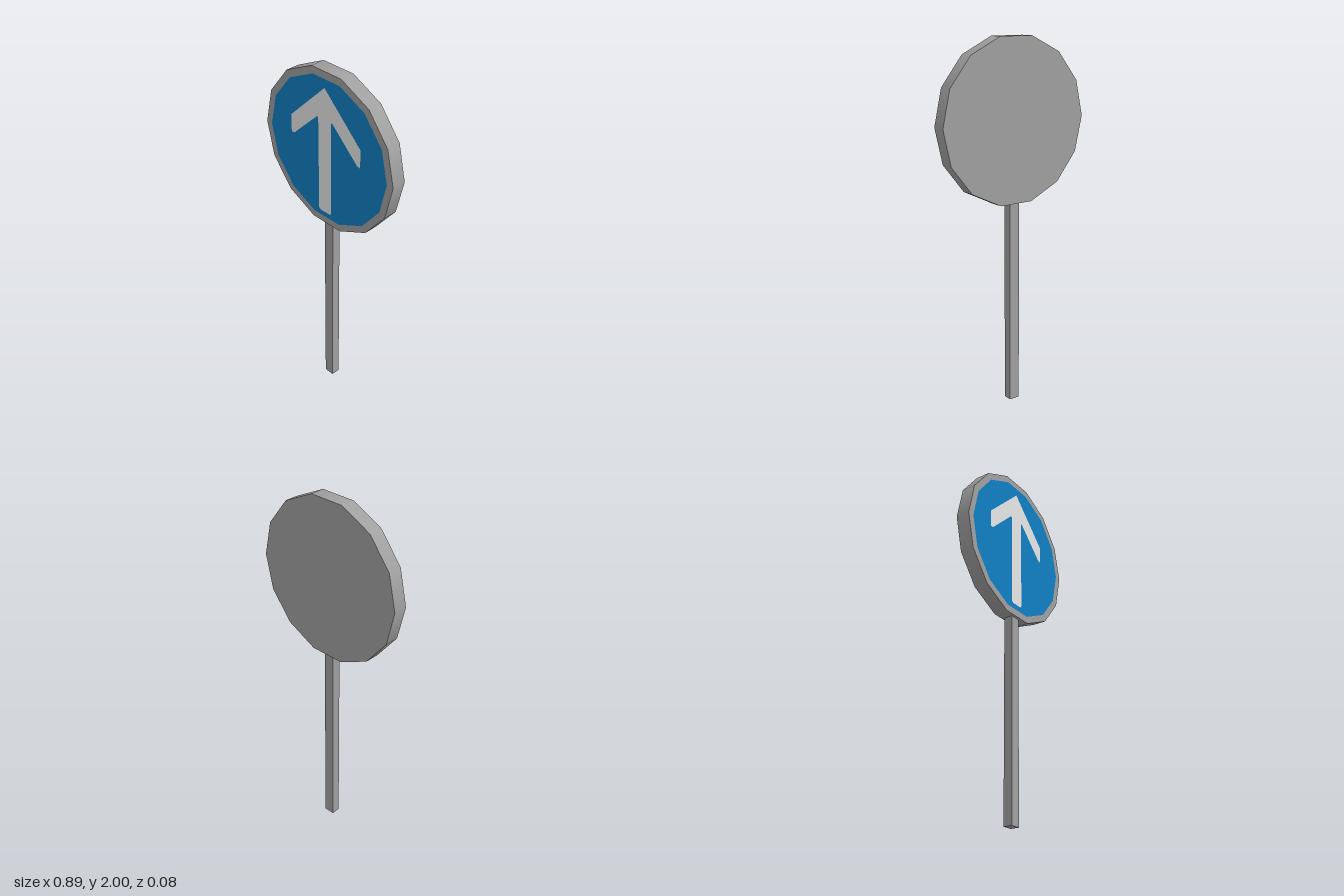
import * as THREE from 'three';

const SIDES = 14, RADIUS = 0.445, DEPTH = 0.08, CENTER_Y = 1.566;

function material(name, color) {
  const m = new THREE.MeshStandardMaterial({ color });
  m.name = name;
  return m;
}

export function createModel() {
  const metal = material('grey metal', 0xa0a0a0);
  const blue = material('sign blue', 0x1080c3);
  const white = material('arrow white', 0xfafafa);

  const sign = new THREE.Group();
  sign.name = 'roadSign';
  const add = (name, geometry, mat, x, y, z) => {
    const mesh = new THREE.Mesh(geometry, mat);
    mesh.name = name;
    mesh.position.set(x, y, z);
    sign.add(mesh);
  };

  // Square-section post, ending just inside the disc
  add('post', new THREE.BoxGeometry(0.06, 1.14, 0.05), metal, 0, 0.57, 0);

  // Fourteen-sided disc with a smooth rim and a corner pointing to each side
  const disc = new THREE.CylinderGeometry(RADIUS, RADIUS, DEPTH, SIDES);
  disc.rotateY(Math.PI / 2).rotateX(Math.PI / 2);
  add('disc', disc, metal, 0, CENTER_Y, 0);

  // Painted blue field, leaving a grey border
  add('blueFace', new THREE.CircleGeometry(0.406, SIDES), blue, 0, CENTER_Y, DEPTH / 2 + 0.001);

  // Painted upward arrow, outlined clockwise from the tip
  const arrow = new THREE.Shape([
    [0, 0.35], [0.242, 0.115], [0.242, 0.015], [0.222, 0.018], [0.055, 0.178], [0.045, 0.178],
    [0.045, -0.355], [0.035, -0.366], [-0.035, -0.366], [-0.045, -0.355],
    [-0.045, 0.178], [-0.055, 0.178], [-0.222, 0.018], [-0.242, 0.015], [-0.242, 0.115],
  ].map(([x, y]) => new THREE.Vector2(x, y)));
  add('arrow', new THREE.ShapeGeometry(arrow), white, -0.009, CENTER_Y, DEPTH / 2 + 0.002);

  return sign;
}
